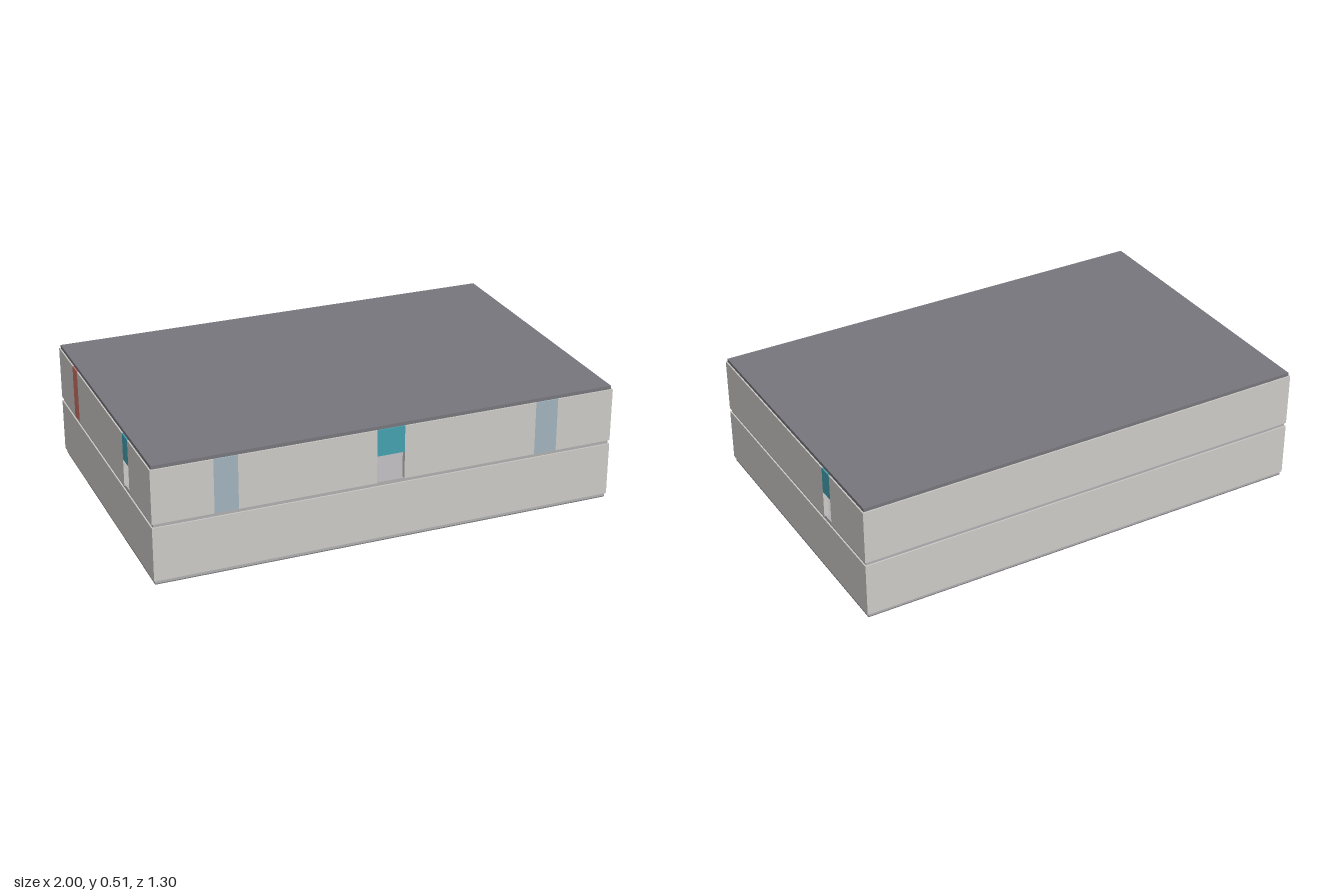
import * as THREE from 'three';

const mat = (color) => new THREE.MeshStandardMaterial({ color });
const wallMat = mat(0xcccac6);
const slabMat = mat(0xb0aeb0);
const roofMat = mat(0x77767c);
const tealMat = mat(0x45a0b0);
const blueMat = mat(0xa0b2bd);
const redMat = mat(0xc87066);

const W = 1, D = 0.65, T = 0.02; // half width, half depth, wall thickness
const STOREY = 0.232, DOOR = 0.118;

function box(name, material, w, h, d, x, y, z) {
  const mesh = new THREE.Mesh(new THREE.BoxGeometry(w, h, d), material);
  mesh.name = name;
  mesh.position.set(x, y + h / 2, z);
  return mesh;
}

// A straight wall along local x, facing local +z, split by doors and windows.
function wall(name, half, openings = []) {
  const g = new THREE.Group();
  g.name = name;
  const piece = (label, material, a, b, y, h) =>
    g.add(box(label, material, b - a, h, T, (a + b) / 2, y, -T / 2));
  let start = -half;
  for (const o of openings) {
    piece('wallPanel', wallMat, start, o.a, 0, STOREY);
    if (o.door) piece('doorHeader', tealMat, o.a, o.b, DOOR, STOREY - DOOR);
    else piece('window', o.material, o.a, o.b, 0, STOREY);
    start = o.b;
  }
  piece('wallPanel', wallMat, start, half, 0, STOREY);
  return g;
}

// Four walls around one storey; the side walls fit between front and back.
function storey(name, y, openings = {}) {
  const g = new THREE.Group();
  g.name = name;
  g.position.y = y;
  const sides = [
    ['front', W, 0, 0, D],
    ['back', W, Math.PI, 0, -D],
    ['left', D - T, Math.PI / 2, W, 0],
    ['right', D - T, -Math.PI / 2, -W, 0],
  ];
  for (const [side, half, turn, x, z] of sides) {
    const w = wall(side + 'Wall', half, openings[side]);
    w.position.set(x, 0, z);
    w.rotation.y = turn;
    g.add(w);
  }
  return g;
}

export function createModel() {
  const model = new THREE.Group();
  model.name = 'twoStoreyBuilding';

  // Slabs, slightly inset from the walls
  const sw = 2 * (W - 0.006), sd = 2 * (D - 0.006);
  model.add(box('base', roofMat, sw, 0.004, sd, 0, 0, 0));
  model.add(box('groundSlab', slabMat, sw, 0.014, sd, 0, 0.004, 0));
  model.add(box('upperFloorSlab', slabMat, sw, 0.016, sd, 0, 0.25, 0));
  model.add(box('roof', roofMat, sw, 0.015, sd, 0, 0.498, 0));

  // Storeys
  model.add(storey('lowerStorey', 0.018));
  model.add(storey('upperStorey', 0.266, {
    front: [
      { a: -0.745, b: -0.645, material: blueMat },
      { a: -0.06, b: 0.06, door: true },
      { a: 0.645, b: 0.745, material: blueMat },
    ],
    left: [{ a: 0.29, b: 0.355, door: true }],
    right: [
      { a: -0.435, b: -0.365, material: redMat },
      { a: 0.29, b: 0.36, door: true },
    ],
  }));

  // Low counter behind the front door
  model.add(box('counter', roofMat, 0.4, 0.055, 0.12, 0, 0.266, 0.1));
  return model;
}
